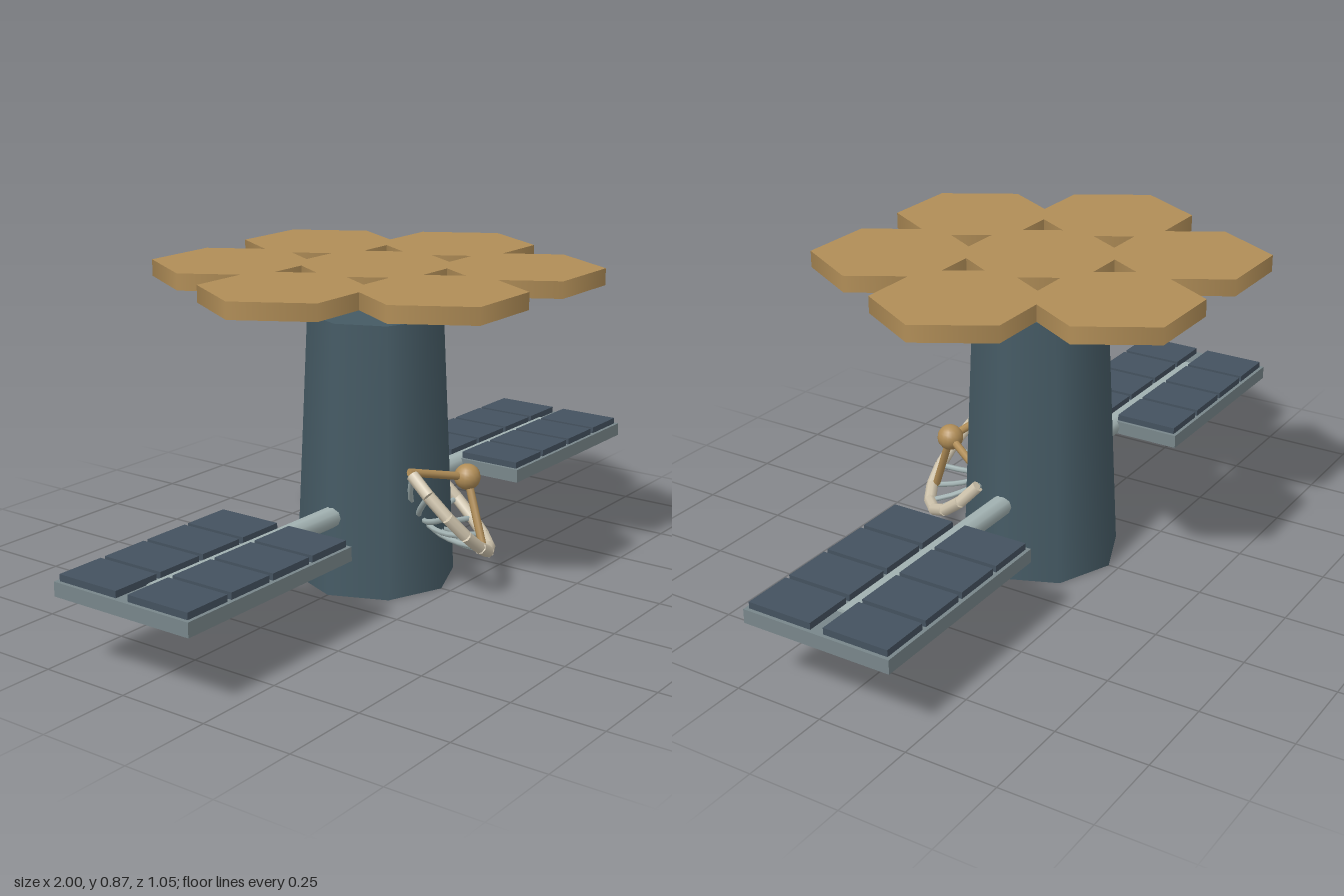
import * as THREE from 'three';

const flat = (name, color) => {
  const m = new THREE.MeshStandardMaterial({ color });
  m.name = name;
  return m;
};

export function createModel() {
  const slate = flat('slate hull', 0x455a64);
  const cellBlue = flat('cell blue', 0x44525f);
  const frameGrey = flat('frame grey', 0x78868a);
  const paleGrey = flat('pale grey', 0xa3b3b3);
  const gold = flat('gold', 0xb08d57);
  const cream = flat('cream', 0xd0c5ae);

  const model = new THREE.Group();
  model.name = 'spaceTelescope';
  const add = (parent, name, geo, mat, x = 0, y = 0, z = 0) => {
    const mesh = new THREE.Mesh(geo, mat);
    mesh.name = name;
    mesh.position.set(x, y, z);
    parent.add(mesh);
    return mesh;
  };
  // Round bar between two points
  const bar = (parent, name, a, b, r, mat, sides = 8) => {
    const dir = b.clone().sub(a);
    const mesh = add(parent, name, new THREE.CylinderGeometry(r, r, dir.length(), sides), mat);
    mesh.position.copy(a).add(b).multiplyScalar(0.5);
    mesh.quaternion.setFromUnitVectors(new THREE.Vector3(0, 1, 0), dir.normalize());
    return mesh;
  };

  // Tapered eight-sided body
  add(model, 'body', new THREE.CylinderGeometry(0.185, 0.22, 0.74, 8), slate, 0, 0.37, 0);

  // Primary mirror: one hexagon with six around it
  const mirror = new THREE.Group();
  mirror.name = 'mirror';
  model.add(mirror);
  const hex = new THREE.CylinderGeometry(0.22, 0.22, 0.045, 6).rotateY(Math.PI / 6);
  add(mirror, 'mirrorCentre', hex, gold, 0, 0.847, 0);
  for (let i = 0; i < 6; i++) {
    const a = (i * Math.PI) / 3;
    add(mirror, 'mirrorSegment', hex, gold, 0.385 * Math.cos(a), 0.847, 0.385 * Math.sin(a));
  }

  // Solar wings on a boom through the body
  bar(model, 'boom', new THREE.Vector3(-0.89, 0.216, 0), new THREE.Vector3(0.89, 0.216, 0), 0.029, paleGrey, 10);
  const cell = new THREE.BoxGeometry(0.136, 0.018, 0.184);
  for (const side of [-1, 1]) {
    const wing = new THREE.Group();
    wing.name = side > 0 ? 'leftWing' : 'rightWing';
    model.add(wing);
    add(wing, 'wingFrame', new THREE.BoxGeometry(0.606, 0.038, 0.426), frameGrey, side * 0.697, 0.216, 0);
    for (let i = 0; i < 4; i++)
      for (const row of [-1, 1])
        add(wing, 'solarCell', cell, cellBlue, side * (0.472 + i * 0.15), 0.244, row * 0.111);
  }

  // Tilted dish: open rim, curved ribs and a feed on three struts
  const dish = new THREE.Group();
  dish.name = 'dish';
  model.add(dish);
  const centre = new THREE.Vector3(0.034, 0.248, 0.201);
  const axis = new THREE.Vector3(0.463, 0.664, 0.58).normalize();
  const across = new THREE.Vector3(0.883, -0.313, -0.348);
  across.addScaledVector(axis, -across.dot(axis)).normalize();
  const down = new THREE.Vector3().crossVectors(across, axis).normalize();
  const at = (angle, r, h) => centre.clone()
    .addScaledVector(across, r * Math.cos(angle))
    .addScaledVector(down, r * Math.sin(angle))
    .addScaledVector(axis, h);

  const R = 0.189, depth = 0.08, count = 10;
  const start = THREE.MathUtils.degToRad(-22.5);
  const step = THREE.MathUtils.degToRad(22.5);
  for (let i = 0; i <= count; i++) {
    const a = start + i * step;
    if (i < count) bar(dish, 'rimSegment', at(a, R, 0), at(a + step, R, 0), 0.017, cream);
    const rib = [0.1, 0.4, 0.7, 1].map((t) => at(a, R * t, depth * (t * t - 1)));
    add(dish, 'rib', new THREE.TubeGeometry(new THREE.CatmullRomCurve3(rib), 6, 0.008, 6), paleGrey);
  }
  const feed = at(0, 0, 0.086);
  const ball = add(dish, 'feedBall', new THREE.SphereGeometry(0.036, 16, 12), gold);
  ball.position.copy(feed);
  for (const deg of [-30, 90, 210])
    bar(dish, 'feedStrut', feed, at(THREE.MathUtils.degToRad(deg), 0.175, -0.005), 0.011, gold);

  return model;
}
